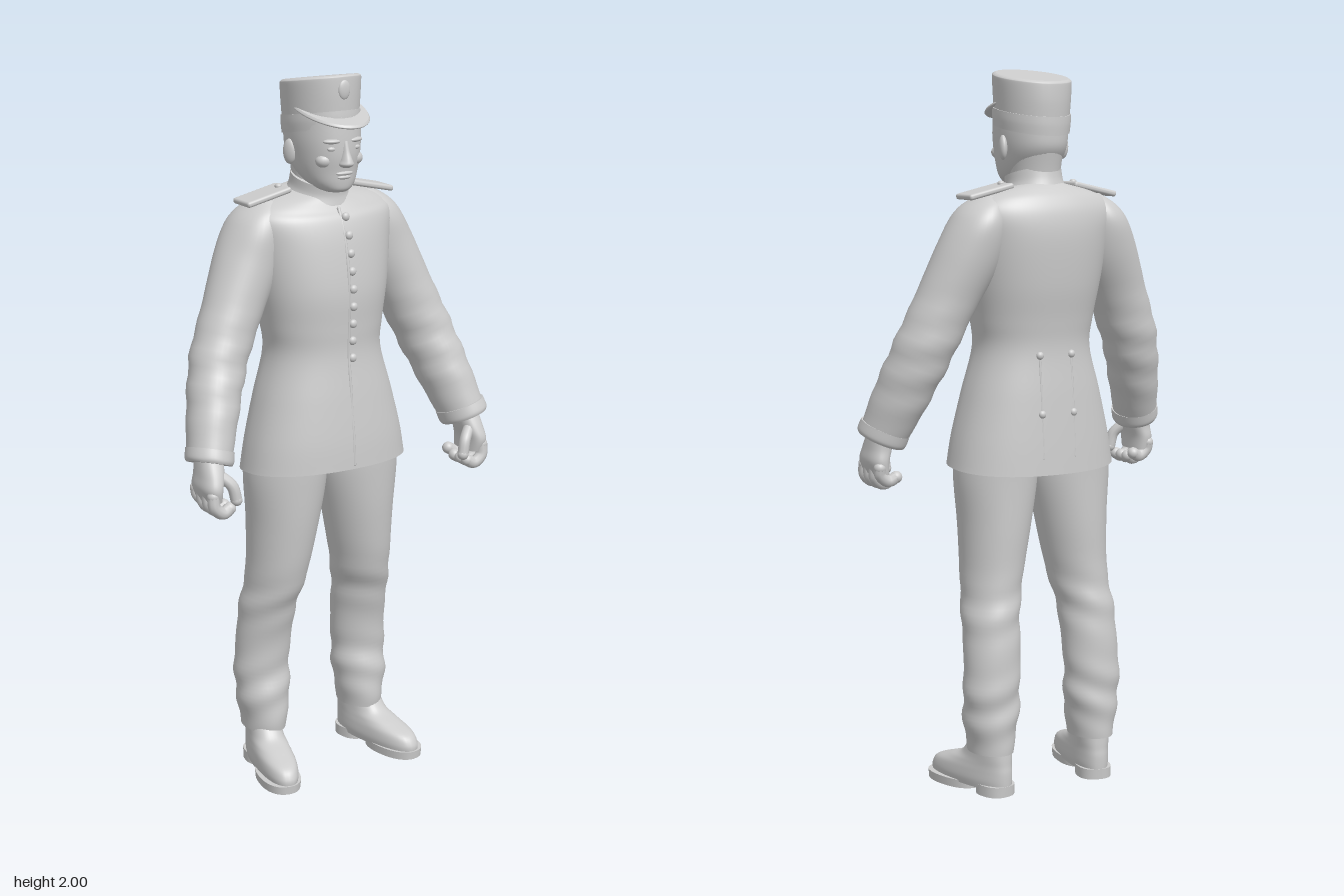
import * as THREE from 'three';
import { RoundedBoxGeometry } from 'three/addons/geometries/RoundedBoxGeometry.js';

const grey = new THREE.MeshStandardMaterial({ color: 0xcccccc });
grey.name = 'plain grey';

// Smooth list of cross-sections: [x, y, z, radiusX, radiusZ, tiltX, tiltZ]
function smooth(sections, steps = 6) {
  const full = sections.map(s => Array.from({ length: 7 }, (_, k) => s[k] ?? 0));
  const at = i => full[Math.min(full.length - 1, Math.max(0, i))];
  const rows = [];
  for (let i = 0; i < full.length - 1; i++) {
    for (let j = 0; j < steps; j++) {
      const t = j / steps;
      rows.push(at(i).map((b, k) => {
        const a = at(i - 1)[k], c = at(i + 1)[k], d = at(i + 2)[k];
        return b + 0.5 * t * (c - a + t * (2 * a - 5 * b + 4 * c - d + t * (3 * (b - c) + d - a)));
      }));
    }
  }
  rows.push(at(full.length - 1));
  return rows;
}

// Skin over the cross-sections, listed from bottom to top, with flat caps
function loft(sections, { power = 2, fold = () => 0, side = 1, sides = 40 } = {}) {
  const rows = smooth(sections), pos = [], idx = [];
  const ring = r => {
    for (let i = 0; i < sides; i++) {
      const a = i / sides * Math.PI * 2, c = Math.cos(a), s = Math.sin(a);
      const f = fold(r[1], a);
      const dx = (r[3] + f) * Math.sign(c) * Math.abs(c) ** (2 / power);
      const dz = (r[4] + f) * Math.sign(s) * Math.abs(s) ** (2 / power);
      pos.push((r[0] + dx) * side, r[1] + r[5] * dx + r[6] * dz, r[2] + dz);
    }
  };
  const tri = (a, b, c) => (side > 0 ? idx.push(a, b, c) : idx.push(a, c, b));
  rows.forEach(ring);
  for (let j = 0; j < rows.length - 1; j++) {
    for (let i = 0; i < sides; i++) {
      const a = j * sides + i, b = j * sides + (i + 1) % sides;
      tri(a, a + sides, b);
      tri(b, a + sides, b + sides);
    }
  }
  [rows[0], rows[rows.length - 1]].forEach((r, top) => {
    const base = pos.length / 3;
    ring(r);
    pos.push(r[0] * side, r[1], r[2]);
    for (let i = 0; i < sides; i++) {
      const a = base + i, b = base + (i + 1) % sides;
      if (top) tri(base + sides, b, a); else tri(base + sides, a, b);
    }
  });
  const g = new THREE.BufferGeometry();
  g.setAttribute('position', new THREE.Float32BufferAttribute(pos, 3));
  g.setIndex(idx);
  g.computeVertexNormals();
  return g;
}

function add(parent, name, geometry, x = 0, y = 0, z = 0) {
  const m = new THREE.Mesh(geometry, grey);
  m.name = name;
  m.position.set(x, y, z);
  parent.add(m);
  return m;
}

const blob = (parent, name, x, y, z, rx, ry, rz) =>
  add(parent, name, new THREE.SphereGeometry(1, 20, 14).scale(rx, ry, rz), x, y, z);

function tube(parent, name, points, radius) {
  const curve = new THREE.CatmullRomCurve3(points.map(p => new THREE.Vector3(...p)));
  add(parent, name, new THREE.TubeGeometry(curve, 20, radius, 10));
  for (const p of [points[0], points[points.length - 1]]) blob(parent, name + 'End', ...p, radius, radius, radius);
}

const TUNIC = [
  [0, 0.915, 0, 0.245, 0.165, 0, 0.08], [0, 1.0, 0, 0.23, 0.16, 0, 0.05], [0, 1.12, -0.002, 0.2, 0.149],
  [0, 1.24, -0.005, 0.167, 0.136], [0, 1.32, -0.008, 0.174, 0.14], [0, 1.42, -0.015, 0.192, 0.149],
  [0, 1.54, -0.028, 0.212, 0.145], [0, 1.61, -0.035, 0.225, 0.132], [0, 1.645, -0.036, 0.205, 0.113, 0, -0.08],
  [0, 1.667, -0.032, 0.155, 0.095, 0, -0.12], [0, 1.685, -0.025, 0.075, 0.078, 0, -0.15],
];

function addTorso(g) {
  add(g, 'tunic', loft(TUNIC, { power: 2.25, sides: 64 }));
  const rows = smooth(TUNIC);
  const surface = (y, s) => {
    const r = rows.reduce((p, q) => (Math.abs(q[1] - y) < Math.abs(p[1] - y) ? q : p));
    return r[2] + s * r[4];
  };
  // front closing edge and its buttons
  const line = [];
  for (let y = 0.94; y < 1.65; y += 0.05) line.push([0.003, y, surface(y, 1) - 0.003]);
  tube(g, 'frontEdge', line, 0.005);
  for (let i = 0; i < 9; i++) {
    const y = 1.235 + i * 0.048;
    blob(g, 'frontButton', 0.015, y, surface(y, 1), 0.012, 0.012, 0.009);
  }
  // back buttons and skirt pleats
  for (const s of [1, -1]) {
    for (const y of [1.23, 1.07]) blob(g, 'backButton', s * 0.05, y, surface(y, -1) + 0.004, 0.011, 0.011, 0.009);
    tube(g, 'backPleat', [1.22, 1.1, 0.95].map(y => [s * 0.05, y, surface(y, -1) + 0.006]), 0.004);
  }
  add(g, 'collar', loft([
    [0, 1.665, -0.022, 0.092, 0.092, 0, -0.2], [0, 1.69, -0.02, 0.079, 0.086, 0, -0.22],
    [0, 1.718, -0.016, 0.076, 0.084, 0, -0.25],
  ]));
}

function addArm(g, s) {
  const fold = (y, a) => 0.003 * Math.sin(75 * y + 2 * Math.cos(a)) * Math.exp(-(((y - 1.22) / 0.12) ** 2));
  add(g, 'sleeve', loft([
    [0.412, 1.02, 0.088, 0.06, 0.068, 0.3, 0.25], [0.38, 1.12, 0.05, 0.069, 0.077, 0.3, 0.25],
    [0.334, 1.25, 0.005, 0.077, 0.081, 0.3, 0.15], [0.276, 1.38, -0.018, 0.08, 0.083, 0.3, 0.05],
    [0.22, 1.5, -0.038, 0.085, 0.094, 0.3, 0], [0.193, 1.585, -0.045, 0.075, 0.096, 0.1, 0],
    [0.178, 1.635, -0.045, 0.06, 0.076, -0.1, 0], [0.16, 1.664, -0.045, 0.03, 0.04, -0.1, 0],
  ], { side: s, fold }));
  add(g, 'cuff', loft([
    [0.418, 0.998, 0.097, 0.06, 0.069, 0.3, 0.25], [0.416, 1.008, 0.094, 0.064, 0.073, 0.3, 0.25],
    [0.409, 1.032, 0.086, 0.064, 0.072, 0.3, 0.25],
  ], { side: s }));
  const board = add(g, 'shoulderBoard', new RoundedBoxGeometry(0.14, 0.016, 0.085, 3, 0.007), s * 0.165, 1.674, -0.04);
  board.rotation.z = -s * 0.22;
  blob(g, 'shoulderButton', s * 0.115, 1.694, -0.04, 0.01, 0.008, 0.01);

  // hand with curled fingers
  add(g, 'palm', loft([
    [0.427, 0.905, 0.108, 0.024, 0.055], [0.432, 0.94, 0.11, 0.03, 0.062],
    [0.425, 0.975, 0.106, 0.033, 0.055], [0.418, 1.02, 0.093, 0.035, 0.045],
  ], { side: s, power: 2.4 }));
  for (let i = 0; i < 4; i++) {
    const z = 0.155 - 0.031 * i, lift = i === 3 ? 0.012 : 0;
    tube(g, 'finger', [[s * 0.44, 0.925, z], [s * 0.437, 0.893 + lift, z + 0.003],
      [s * 0.412, 0.874 + lift, z + 0.003], [s * 0.39, 0.884 + lift, z]], 0.017);
  }
  tube(g, 'thumb', [[s * 0.41, 0.975, 0.135], [s * 0.382, 0.945, 0.155], [s * 0.372, 0.905, 0.16]], 0.016);
}

function addLeg(g, s) {
  const fold = (y, a) => 0.004 * Math.sin(62 * y + 2.2 * Math.cos(a + 0.6))
    * (Math.exp(-(((y - 0.25) / 0.09) ** 2)) + 0.7 * Math.exp(-(((y - 0.52) / 0.08) ** 2)));
  add(g, 'trouserLeg', loft([
    [0.165, 0.12, -0.06, 0.06, 0.078], [0.165, 0.15, -0.06, 0.064, 0.08], [0.165, 0.22, -0.062, 0.077, 0.08],
    [0.165, 0.3, -0.068, 0.08, 0.075], [0.16, 0.4, -0.062, 0.08, 0.078], [0.155, 0.5, -0.045, 0.08, 0.087],
    [0.14, 0.6, -0.023, 0.084, 0.098], [0.125, 0.75, -0.014, 0.1, 0.111], [0.118, 0.88, -0.01, 0.117, 0.117],
    [0.118, 0.96, -0.01, 0.115, 0.12],
  ], { side: s, fold }));

  // shoe, turned slightly outward
  const shoe = new THREE.Group();
  shoe.name = 'shoe';
  shoe.position.set(s * 0.165, 0, -0.07);
  shoe.rotation.y = s * 0.2;
  g.add(shoe);
  add(shoe, 'heel', loft([[0, 0, -0.012, 0.048, 0.054], [0, 0.03, -0.012, 0.048, 0.056]], { power: 2.4 }));
  add(shoe, 'sole', loft([[0.004, 0, 0.15, 0.056, 0.095], [0.004, 0.024, 0.15, 0.058, 0.097]], { side: s, power: 2.3 }));
  add(shoe, 'shoeUpper', loft([
    [0, 0.018, 0.088, 0.05, 0.154], [0, 0.04, 0.087, 0.054, 0.154], [0, 0.065, 0.077, 0.053, 0.144],
    [0, 0.085, 0.05, 0.05, 0.115], [0, 0.105, 0.023, 0.048, 0.087], [0, 0.14, 0.008, 0.048, 0.07],
  ], { power: 2.35 }));
}

function addHead(g) {
  add(g, 'neck', loft([[0, 1.66, -0.025, 0.07, 0.075], [0, 1.72, -0.027, 0.068, 0.075], [0, 1.79, -0.03, 0.075, 0.085]]));
  add(g, 'head', loft([
    [0, 1.688, 0.062, 0.03, 0.035], [0, 1.697, 0.048, 0.048, 0.058], [0, 1.715, 0.032, 0.066, 0.078],
    [0, 1.745, 0.013, 0.08, 0.1], [0, 1.785, 0.001, 0.089, 0.118], [0, 1.83, -0.002, 0.094, 0.121],
    [0, 1.89, -0.004, 0.094, 0.119],
  ], { power: 2.15 }));
  add(g, 'nose', loft([
    [0, 1.758, 0.112, 0.012, 0.018], [0, 1.766, 0.117, 0.02, 0.025], [0, 1.778, 0.116, 0.016, 0.024],
    [0, 1.8, 0.112, 0.011, 0.018], [0, 1.828, 0.108, 0.009, 0.013],
  ], { sides: 20 }));
  blob(g, 'upperLip', 0, 1.741, 0.11, 0.027, 0.006, 0.009);
  blob(g, 'lowerLip', 0, 1.73, 0.107, 0.022, 0.006, 0.009);
  blob(g, 'chin', 0, 1.708, 0.092, 0.024, 0.016, 0.016);
  for (const s of [1, -1]) {
    blob(g, 'eye', s * 0.036, 1.808, 0.106, 0.015, 0.007, 0.008);
    blob(g, 'brow', s * 0.037, 1.828, 0.106, 0.025, 0.007, 0.012).rotation.y = s * 0.3;
    blob(g, 'cheek', s * 0.046, 1.775, 0.083, 0.026, 0.02, 0.022);
    const ear = blob(g, 'ear', s * 0.094, 1.79, -0.015, 0.012, 0.034, 0.021);
    ear.rotation.y = -s * 0.35;
  }
}

function addCap(g) {
  add(g, 'capBand', loft([
    [0, 1.842, -0.007, 0.099, 0.121, 0, 0.17], [0, 1.868, -0.008, 0.102, 0.122, 0, 0.16],
    [0, 1.89, -0.009, 0.102, 0.121, 0, 0.15],
  ]));
  add(g, 'capCrown', loft([
    [0, 1.88, -0.009, 0.098, 0.118, 0, 0.15], [0, 1.93, -0.01, 0.102, 0.12, 0, 0.15],
    [0, 1.972, -0.01, 0.105, 0.119, 0, 0.15], [0, 1.98, -0.01, 0.103, 0.117, 0, 0.15],
    [0, 1.984, -0.01, 0.096, 0.11, 0, 0.15],
  ]));
  add(g, 'visor', loft([
    [0, 1.901, 0.03, 0.095, 0.132, 0, -0.27], [0, 1.905, 0.03, 0.099, 0.136, 0, -0.27],
    [0, 1.911, 0.03, 0.096, 0.132, 0, -0.27],
  ]));
  blob(g, 'capBadge', 0, 1.962, 0.108, 0.018, 0.026, 0.007);
}

export function createModel() {
  const model = new THREE.Group();
  model.name = 'uniformedFigure';
  const part = (name, build, ...args) => {
    const g = new THREE.Group();
    g.name = name;
    build(g, ...args);
    model.add(g);
  };
  part('torso', addTorso);
  part('headAndNeck', addHead);
  part('cap', addCap);
  for (const [name, s] of [['left', 1], ['right', -1]]) {
    part(name + 'Arm', addArm, s);
    part(name + 'Leg', addLeg, s);
  }
  return model;
}
